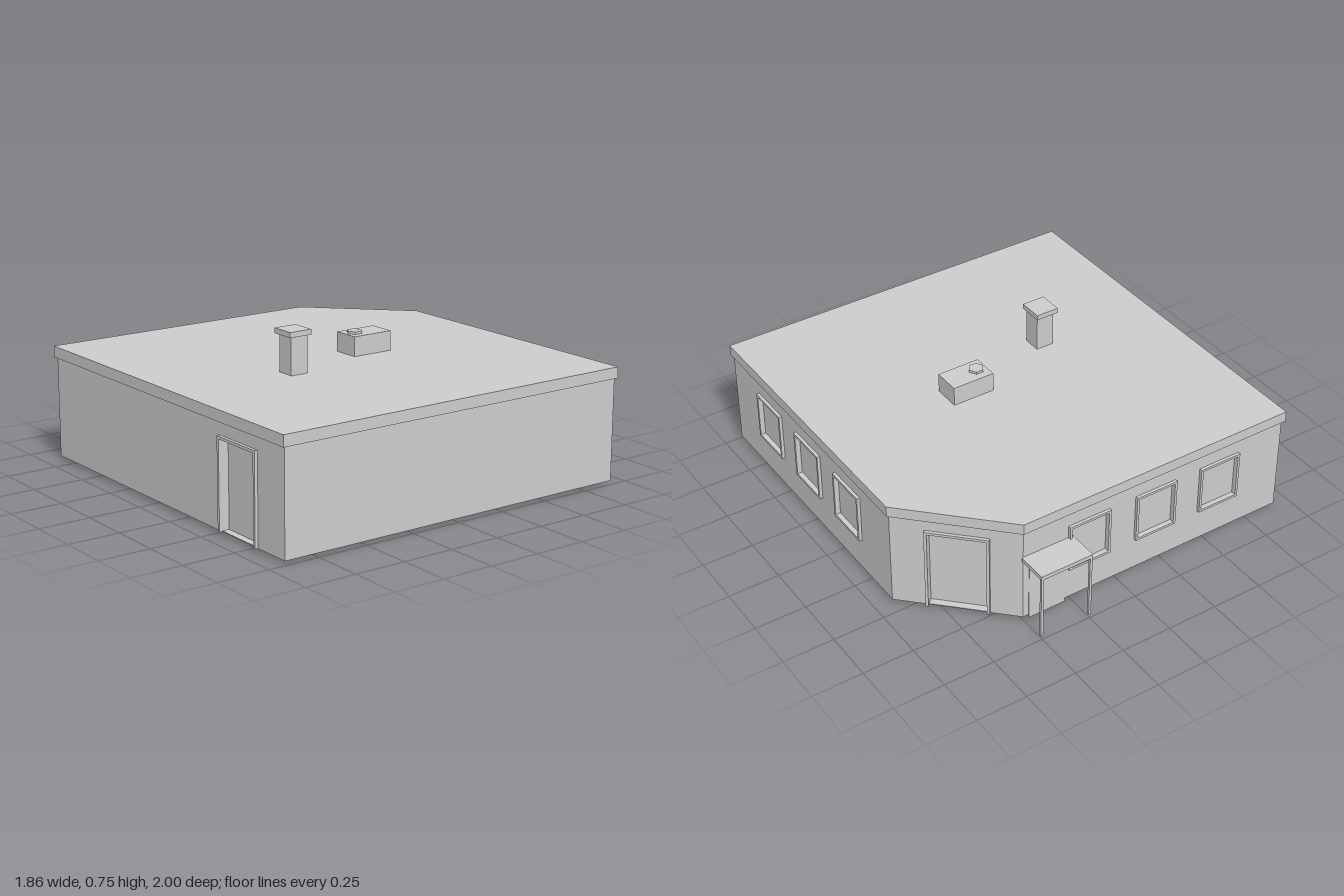
import * as THREE from 'three';

const BASE = 0.016, EAVE = 0.5, PROUD = 0.015;

export function createModel() {
  const model = new THREE.Group();
  model.name = 'building';
  const grey = new THREE.MeshStandardMaterial({ color: 0xcccccc });
  grey.name = 'plain grey';

  const add = (parent, name, geometry, x = 0, y = 0, z = 0) => {
    const mesh = new THREE.Mesh(geometry, grey);
    mesh.name = name;
    mesh.position.set(x, y, z);
    parent.add(mesh);
    return mesh;
  };
  // box given by its lower and upper limits on each axis
  const block = (parent, name, [x0, x1], [y0, y1], [z0, z1]) =>
    add(parent, name, new THREE.BoxGeometry(x1 - x0, y1 - y0, z1 - z0),
      (x0 + x1) / 2, (y0 + y1) / 2, (z0 + z1) / 2);

  const points = (list) => list.map(([x, y]) => new THREE.Vector2(x, y));
  const rect = (x0, x1, y0, y1) => points([[x0, y0], [x1, y0], [x1, y1], [x0, y1]]);

  // horizontal slab from a plan outline of [x, z] corners
  const slab = (name, plan, y, depth) => {
    const shape = new THREE.Shape(points(plan.map(([x, z]) => [x, -z])));
    const geometry = new THREE.ExtrudeGeometry(shape, { depth, bevelEnabled: false });
    geometry.rotateX(-Math.PI / 2);
    add(model, name, geometry, 0, y, 0);
  };

  // window frame with a slightly sunken pane
  const addWindow = (wall, { at, w, y0, y1 }) => {
    const h = w / 2, t = 0.012, sunk = 0.01;
    const shape = new THREE.Shape(rect(at - h, at + h, y0, y1));
    shape.holes.push(new THREE.Path(rect(at - h + t, at + h - t, y0 + t, y1 - t)));
    add(wall, 'windowFrame', new THREE.ExtrudeGeometry(shape,
      { depth: PROUD + sunk, bevelEnabled: false }), 0, 0, -sunk);
    add(wall, 'windowPane', new THREE.PlaneGeometry(w, y1 - y0), at, (y0 + y1) / 2, -sunk + 0.001);
  };

  // three-sided door frame with a recessed door
  const addDoor = (wall, { at, w, y1 }) => {
    const h = w / 2, t = 0.013, sunk = 0.035;
    const shape = new THREE.Shape(points([
      [at - h, BASE], [at - h + t, BASE], [at - h + t, y1 - t], [at + h - t, y1 - t],
      [at + h - t, BASE], [at + h, BASE], [at + h, y1], [at - h, y1]]));
    add(wall, 'doorFrame', new THREE.ExtrudeGeometry(shape,
      { depth: PROUD + sunk, bevelEnabled: false }), 0, 0, -sunk);
    add(wall, 'doorPanel', new THREE.PlaneGeometry(w, y1 - BASE), at, (y1 + BASE) / 2, -sunk + 0.001);
  };

  // wall between two plan corners, cut for its windows and door
  const addWall = (name, [x0, z0], [x1, z1], windows = [], door = null) => {
    const wall = new THREE.Group();
    wall.name = name;
    wall.position.set(x0, 0, z0);
    wall.rotation.y = Math.atan2(z0 - z1, x1 - x0);
    const length = Math.hypot(x1 - x0, z1 - z0);
    const outline = [[0, BASE]];
    if (door) {
      const a = door.at - door.w / 2, b = door.at + door.w / 2;
      outline.push([a, BASE], [a, door.y1], [b, door.y1], [b, BASE]);
      addDoor(wall, door);
    }
    outline.push([length, BASE], [length, EAVE], [0, EAVE]);
    const shape = new THREE.Shape(points(outline));
    for (const win of windows) {
      shape.holes.push(new THREE.Path(rect(win.at - win.w / 2, win.at + win.w / 2, win.y0, win.y1)));
      addWindow(wall, win);
    }
    add(wall, 'wallFace', new THREE.ShapeGeometry(shape));
    model.add(wall);
  };

  // walls, running round the plan with one cut corner
  const plan = [[-0.915, 0.992], [0.915, 0.992], [0.915, -0.435], [0.5, -0.85], [-0.915, -0.85]];
  const win = (at) => ({ at, w: 0.22, y0: 0.18, y1: 0.423 });
  addWall('frontWall', plan[0], plan[1]);
  addWall('leftWall', plan[1], plan[2], [0.638, 0.28, -0.075].map((z) => win(0.992 - z)));
  addWall('cornerWall', plan[2], plan[3], [], { at: 0.298, w: 0.288, y1: 0.44 });
  addWall('backWall', plan[3], plan[4], [0.155, -0.205, -0.56].map((x) => win(0.5 - x)));
  addWall('rightWall', plan[4], plan[0], [], { at: 0.663 + 0.85, w: 0.278, y1: 0.44 });
  slab('floor', plan, BASE, 0.004);

  // overhanging flat roof
  slab('roof', [[-0.925, 1], [0.928, 1], [0.928, -0.44], [0.507, -0.865], [-0.925, -0.865]], EAVE, 0.053);

  // chimney and cap
  block(model, 'chimney', [-0.355, -0.265], [0.55, 0.73], [0.168, 0.258]);
  block(model, 'chimneyCap', [-0.37, -0.255], [0.73, 0.755], [0.153, 0.272]);

  // rooftop unit with a six-sided vent
  block(model, 'roofUnit', [0.085, 0.297], [0.55, 0.647], [0.01, 0.143]);
  const vent = new THREE.CylinderGeometry(0.037, 0.037, 0.012, 6).toNonIndexed();
  vent.rotateY(Math.PI / 6);
  vent.computeVertexNormals();
  add(model, 'roofVent', vent, 0.135, 0.653, 0.078);

  // back entrance: thin door plate, canopy and posts
  block(model, 'backDoor', [0.28, 0.47], [0, 0.34], [-0.853, -0.849]);
  block(model, 'canopy', [0.24, 0.507], [0.34, 0.36], [-1, -0.85]);
  for (const x of [0.247, 0.5]) {
    block(model, 'canopyPost', [x - 0.006, x + 0.006], [BASE, 0.34], [-0.998, -0.986]);
  }
  return model;
}
